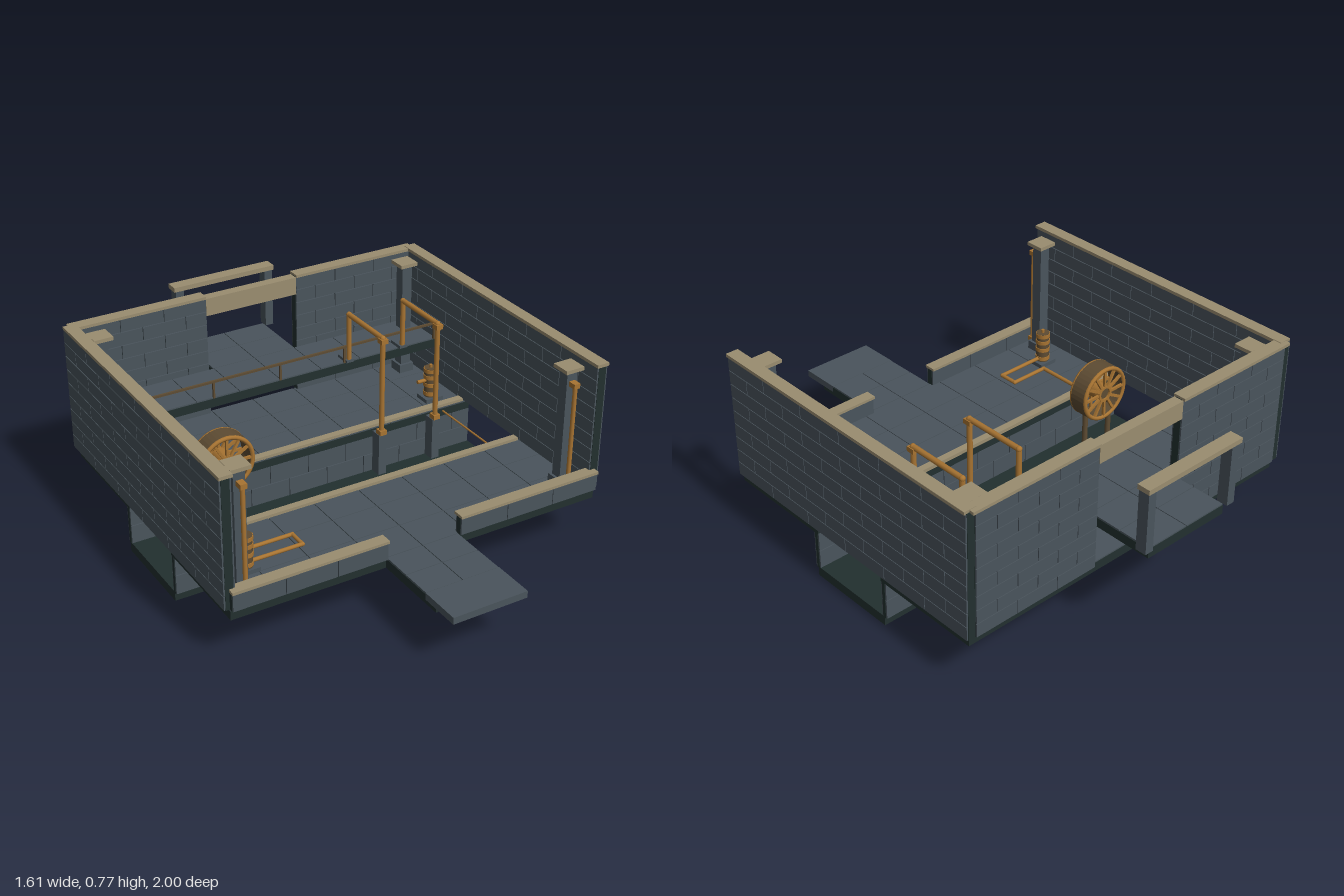
import * as THREE from 'three';
import { mergeGeometries } from 'three/addons/utils/BufferGeometryUtils.js';

export function createModel() {
  const root = new THREE.Group();
  const mat = (name, color) => {
    const m = new THREE.MeshStandardMaterial({ color });
    m.name = name;
    return m;
  };
  const slate = mat('slate stone', 0x4a545c);
  const dark = mat('dark mortar', 0x22302f);
  const tan = mat('sandstone trim', 0x9a8d70);
  const brass = mat('brass', 0xa87432);
  const bronze = mat('dark bronze', 0x5e4c33);

  const add = (name, geo, material, parent = root) => {
    const m = new THREE.Mesh(geo, material);
    m.name = name;
    parent.add(m);
    return m;
  };
  // Box geometry given by its limits on each axis
  const span = (x0, x1, y0, y1, z0, z1) =>
    new THREE.BoxGeometry(x1 - x0, y1 - y0, z1 - z0)
      .translate((x0 + x1) / 2, (y0 + y1) / 2, (z0 + z1) / 2);
  const box = (name, material, ...lim) => add(name, span(...lim), material);
  // Straight round rod between two points
  const rod = (a, b, r) => {
    const p = new THREE.Vector3(...a), q = new THREE.Vector3(...b);
    const d = q.clone().sub(p);
    const rot = new THREE.Quaternion().setFromUnitVectors(new THREE.Vector3(0, 1, 0), d.clone().normalize());
    return new THREE.CylinderGeometry(r, r, d.length(), 10).applyQuaternion(rot)
      .translate(...p.add(q).multiplyScalar(0.5).toArray());
  };
  const pipe = (name, pts, r, material) => add(name, mergeGeometries([
    ...pts.slice(1).map((p, i) => rod(pts[i], p, r)),
    ...pts.slice(1, -1).map(p => new THREE.SphereGeometry(r * 1.1, 10, 8).toNonIndexed().translate(...p)),
  ].map(g => (g.index ? g.toNonIndexed() : g))), material);

  // Running-bond blocks on an x-y rectangle, from z = 0 to z = depth
  const bond = (w, h, cols, rows, depth, stagger = true, gap = 0.003) => {
    const parts = [], cw = w / cols, rh = h / rows;
    for (let r = 0; r < rows; r++) {
      const shift = stagger && r % 2 ? cw / 2 : 0;
      for (let c = shift ? -1 : 0; c < cols; c++) {
        const a = Math.max(0, c * cw + shift), b = Math.min(w, (c + 1) * cw + shift);
        parts.push(span(a - w / 2 + gap / 2, b - w / 2 - gap / 2,
          r * rh + gap / 2, (r + 1) * rh - gap / 2, 0, depth));
      }
    }
    return mergeGeometries(parts);
  };
  // Wall with a dark core and blocks on both faces
  const wall = (name, w, h, t, cols, rows, x, y, z, turn = 0) => {
    const g = new THREE.Group(), skin = 0.006;
    g.name = name;
    add('wallCore', span(-w / 2, w / 2, 0, h, -t / 2 + skin, t / 2 - skin), dark, g);
    for (const s of [0, 1]) {
      const b = add('wallBlocks', bond(w, h, cols, rows, skin), slate, g);
      b.rotation.y = s * Math.PI;
      b.position.z = (s ? -1 : 1) * (t / 2 - skin);
    }
    g.position.set(x, y, z);
    g.rotation.y = turn;
    root.add(g);
  };
  // Paved slab: dark bed with square tiles on top
  const paving = (name, x0, x1, z0, z1, y0, y1, cols, rows) => {
    box(name + 'Bed', dark, x0, x1, y0, y1 - 0.006, z0, z1);
    const t = add(name + 'Tiles', bond(x1 - x0, z1 - z0, cols, rows, 0.006, false), slate);
    t.rotation.x = -Math.PI / 2;
    t.position.set((x0 + x1) / 2, y1 - 0.006, z1);
  };

  // Channel
  box('channelBed', dark, -0.78, 0.78, 0, 0.04, -0.27, 0.12);
  wall('channelFrontWall', 1.56, 0.165, 0.027, 9, 2, 0, 0.035, 0.12);
  wall('channelBackWall', 1.56, 0.165, 0.027, 9, 2, 0, 0.035, -0.269);
  box('channelFrontCoping', tan, -0.75, 0.75, 0.235, 0.25, 0.10, 0.13);
  box('channelBackCoping', tan, -0.75, 0.75, 0.235, 0.25, -0.29, -0.258);

  // Floors, walkway and landings
  paving('frontFloor', -0.78, 0.78, 0.107, 0.575, 0.195, 0.238, 8, 3);
  paving('backFloor', -0.78, 0.78, -0.725, -0.256, 0.195, 0.238, 8, 3);
  paving('walkway', -0.75, 0.75, -0.70, -0.475, 0.40, 0.443, 8, 1);
  paving('backLanding', -0.19, 0.19, -0.975, -0.70, 0.40, 0.443, 2, 2);
  paving('frontBridge', -0.155, 0.155, 0.575, 0.83, 0.195, 0.238, 2, 2);
  box('bridgeEndBed', dark, -0.155, 0.155, 0.195, 0.21, 0.83, 0.895);
  box('bridgeEndSlab', slate, -0.155, 0.155, 0.21, 0.238, 0.83, 1.0);

  // Walls with copings
  for (const s of [-1, 1]) {
    wall('sideWall', 1.31, 0.52, 0.045, 6, 9, s * 0.778, 0.237, -0.085, Math.PI / 2);
    box('sideCoping', tan, s * 0.777 - 0.026, s * 0.777 + 0.026, 0.755, 0.768, -0.735, 0.575);
    wall('backWall', 0.56, 0.52, 0.042, 3, 9, s * 0.485, 0.237, -0.726);
    box('backCoping', tan, s * 0.493 - 0.287, s * 0.493 + 0.287, 0.754, 0.766, -0.755, -0.702);
    wall('frontParapet', 0.623, 0.073, 0.036, 3, 1, s * 0.467, 0.237, 0.574);
    box('parapetCoping', tan, s * 0.467 - 0.313, s * 0.467 + 0.313, 0.309, 0.32, 0.548, 0.597);
    box('portalPost', slate, s * 0.207 - 0.018, s * 0.207 + 0.018, 0.443, 0.695, -0.993, -0.947);
  }
  box('backLintel', tan, -0.206, 0.206, 0.68, 0.755, -0.748, -0.705);
  box('portalBeam', tan, -0.232, 0.232, 0.695, 0.715, -1.0, -0.945);

  // Corner pillars, the front pair with a brass pipe
  for (const x of [-0.693, 0.693]) for (const z of [-0.64, 0.48]) {
    box('pillarShaft', slate, x - 0.023, x + 0.023, 0.238, 0.73, z - 0.023, z + 0.023);
    box('pillarBase', slate, x - 0.034, x + 0.034, 0.238, 0.275, z - 0.034, z + 0.034);
    box('pillarCap', tan, x - 0.04, x + 0.04, 0.73, 0.745, z - 0.04, z + 0.04);
    if (z > 0) {
      add('pillarPipe', rod([x, 0.245, z + 0.045], [x, 0.69, z + 0.045], 0.009), brass);
      for (const y of [0.27, 0.68])
        box('pipeBracket', brass, x - 0.013, x + 0.013, y - 0.01, y + 0.01, z + 0.02, z + 0.057);
    }
  }

  // Walkway railing
  box('walkwayRail', bronze, -0.75, 0.75, 0.508, 0.517, -0.48, -0.471);
  for (const x of [-0.74, -0.3, 0, 0.3, 0.74])
    box('railPost', bronze, x - 0.004, x + 0.004, 0.44, 0.51, -0.48, -0.471);

  // Spoked wheel
  const wheel = new THREE.Group();
  wheel.name = 'wheel';
  wheel.position.set(-0.455, 0.395, -0.1);
  root.add(wheel);
  const ring = (ro, ri, d) => {
    const s = new THREE.Shape().absarc(0, 0, ro, 0, Math.PI * 2);
    s.holes.push(new THREE.Path().absarc(0, 0, ri, 0, Math.PI * 2, true));
    return new THREE.ExtrudeGeometry(s, { depth: d, bevelEnabled: false, curveSegments: 20 }).translate(0, 0, -d / 2);
  };
  add('wheelRim', ring(0.115, 0.098, 0.075), bronze, wheel);
  for (const z of [-0.036, 0.036]) {
    add('rimRing', new THREE.TorusGeometry(0.107, 0.009, 8, 36), brass, wheel).position.z = z;
    for (let i = 0; i < 12; i++) {
      const sp = add('spoke', new THREE.BoxGeometry(0.01, 0.078, 0.01).translate(0, 0.067, 0), brass, wheel);
      sp.position.z = z;
      sp.rotation.z = i * Math.PI / 6;
    }
  }
  add('wheelHub', ring(0.034, 0.024, 0.085), brass, wheel);
  add('axle', new THREE.CylinderGeometry(0.024, 0.024, 0.07, 16).rotateX(Math.PI / 2), bronze, wheel);
  for (const x of [-0.52, -0.39]) {
    add('wheelLeg', rod([x, 0.04, -0.1], [x, 0.32, -0.1], 0.011), bronze);
    box('wheelLegFoot', bronze, x - 0.03, x + 0.03, 0.04, 0.057, -0.138, -0.062);
  }

  // Drive pipe from wheel to the front barrel
  pipe('drivePipe', [[-0.555, 0.268, -0.07], [-0.555, 0.268, 0.31], [-0.39, 0.268, 0.31],
    [-0.39, 0.268, 0.385], [-0.60, 0.268, 0.385]], 0.008, brass);
  add('channelRod', rod([0.648, 0.22, 0.11], [0.648, 0.22, -0.258], 0.004), brass);

  // Pipe frames over the channel edge
  for (const x of [0.32, 0.58]) {
    pipe('pipeFrame', [[x, 0.443, -0.472], [x, 0.655, -0.472], [x, 0.655, -0.215], [x, 0.225, -0.215]], 0.011, brass);
    box('framePier', slate, x - 0.018, x + 0.018, 0.04, 0.225, -0.255, -0.205);
    box('frameFoot', slate, x - 0.018, x + 0.018, 0.443, 0.455, -0.53, -0.46);
    for (const y of [0.235, 0.645])
      box('frameCollar', brass, x - 0.015, x + 0.015, y - 0.01, y + 0.01, -0.232, -0.198);
  }
  add('branchPipe', rod([0.58, 0.33, -0.35], [0.64, 0.33, -0.35], 0.008), brass);

  // Banded barrels
  for (const [x, z] of [[-0.62, 0.385], [0.645, -0.35]]) {
    box('barrelBase', slate, x - 0.041, x + 0.041, 0.238, 0.255, z - 0.036, z + 0.036);
    add('barrel', new THREE.CylinderGeometry(0.027, 0.027, 0.13, 18), bronze).position.set(x, 0.32, z);
    for (const y of [0.27, 0.31, 0.345, 0.375])
      add('barrelBand', new THREE.CylinderGeometry(0.03, 0.03, 0.016, 18), brass).position.set(x, y, z);
    add('barrelValve', rod([x, 0.38, z], [x, 0.398, z], 0.007), brass);
  }
  return root;
}
